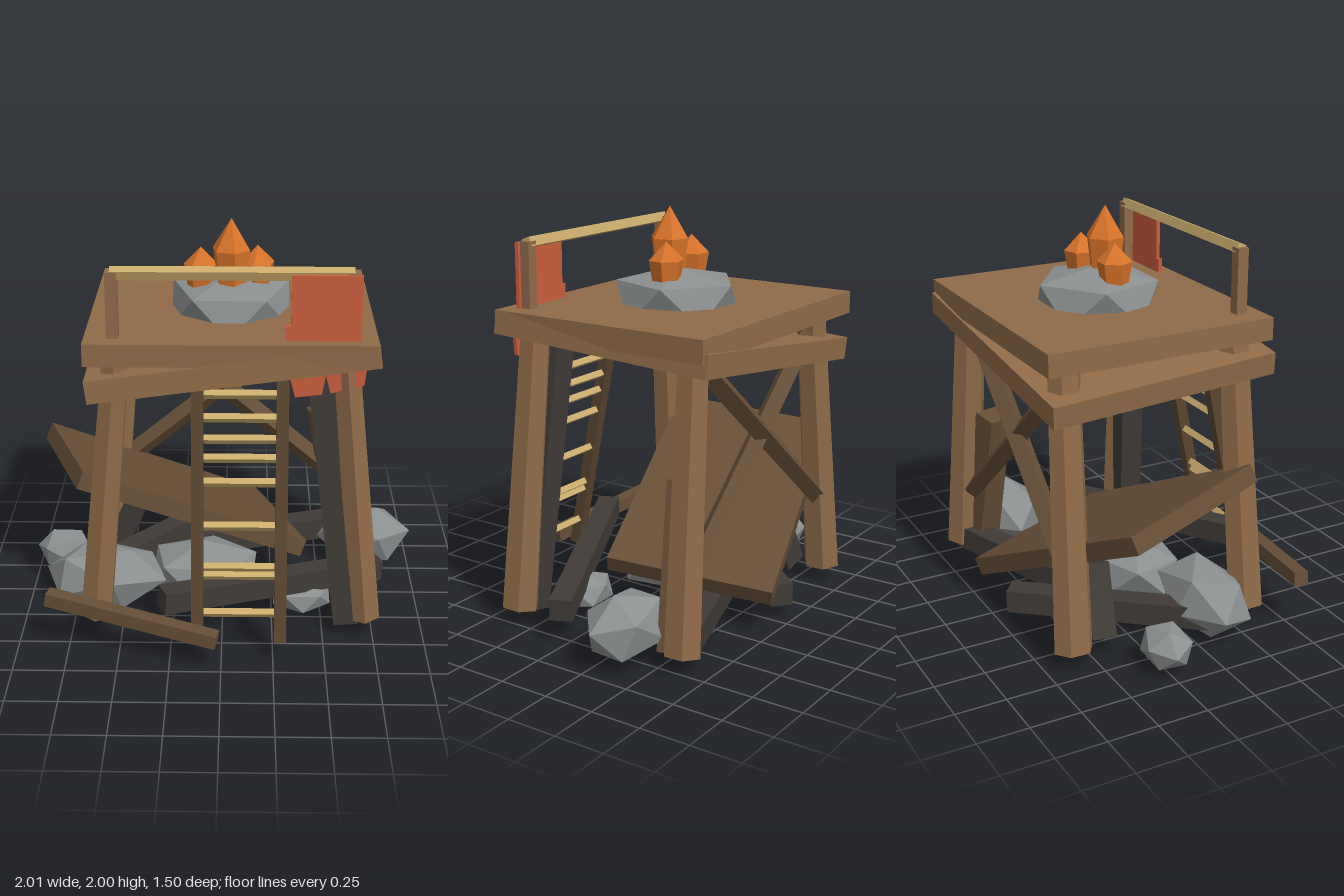
import * as THREE from 'three';

const mat = (name, color) => {
  const m = new THREE.MeshStandardMaterial({ color, flatShading: true });
  m.name = name;
  return m;
};

export function createModel() {
  const root = new THREE.Group();
  root.name = 'ruinedWatchtower';
  const timber = mat('timber', 0x906b48);
  const oldWood = mat('weatheredWood', 0x664e36);
  const darkWood = mat('ladderWood', 0x5b452f);
  const charred = mat('charredWood', 0x403b37);
  const pale = mat('paleWood', 0xcbac6d);
  const stone = mat('stone', 0x8b8f8f);
  const flame = mat('flame', 0xd8732a);
  const cloth = mat('redCloth', 0xcb5e3e);
  cloth.side = THREE.DoubleSide;

  const add = (name, geo, material, pos = [0, 0, 0]) => {
    const m = new THREE.Mesh(geo, material);
    m.name = name;
    m.position.set(...pos);
    root.add(m);
    return m;
  };
  const box = (name, material, size, pos) => add(name, new THREE.BoxGeometry(...size), material, pos);

  // Straight squared piece between two points, turned about its length by roll
  const beam = (name, material, a, b, w, h = w, roll = 0) => {
    const A = new THREE.Vector3(...a), B = new THREE.Vector3(...b);
    const m = add(name, new THREE.BoxGeometry(w, h, A.distanceTo(B)), material);
    m.position.copy(A).add(B).multiplyScalar(0.5);
    m.lookAt(B);
    m.rotateZ(roll);
    return m;
  };

  // Platform and the sagging deck beneath it
  box('platform', timber, [1.36, 0.11, 1.15], [0.04, 1.495, -0.135]);
  const deck = box('saggingDeck', timber, [1.37, 0.11, 1.16], [0.04, 1.375, -0.13]);
  deck.rotation.set(-0.055, 0.016, 0.13);

  // Four splayed legs
  for (const sx of [-1, 1]) {
    for (const [zb, zt] of [[0.345, 0.315], [-0.605, -0.57]]) {
      const foot = new THREE.Vector3(0.04 + sx * 0.67, 0.08, zb);
      const head = new THREE.Vector3(0.04 + sx * 0.535, 1.46, zt);
      const dir = head.clone().sub(foot);
      const leg = add('leg', new THREE.CylinderGeometry(0.08, 0.098, dir.length(), 6), timber);
      leg.scale.x = 0.88;
      leg.position.copy(foot).add(head).multiplyScalar(0.5);
      leg.quaternion.setFromUnitVectors(new THREE.Vector3(0, 1, 0), dir.normalize());
    }
  }

  // Crossed braces at the back, set on edge
  beam('brace', oldWood, [-0.5, 1.37, -0.56], [0.62, 0.4, -0.58], 0.076, 0.076, Math.PI / 4);
  beam('brace', oldWood, [0.52, 1.38, -0.58], [-0.56, 0.48, -0.6], 0.076, 0.076, Math.PI / 4);

  // Leaning posts
  beam('charredPost', charred, [0.62, 0.05, 0.345], [0.45, 1.45, 0.28], 0.12, 0.12, 0.3);
  beam('leaningStump', oldWood, [0.66, 0.06, -0.53], [0.52, 0.84, -0.49], 0.13, 0.13);

  // Ladder
  const ladderZ = y => 0.63 - (y - 0.1) * 0.2;
  for (const x of [-0.115, 0.283])
    beam('ladderRail', darkWood, [x, 0.1, ladderZ(0.1)], [x, 1.37, ladderZ(1.37)], 0.058, 0.058);
  for (const y of [0.24, 0.425, 0.465, 0.665, 0.875, 0.99, 1.08, 1.18, 1.29]) {
    const rung = box('ladderRung', pale, [0.345, 0.032, 0.032], [0.084, y, ladderZ(y)]);
    rung.rotation.x = 0.6;
  }

  // Railing
  for (const x of [-0.505, 0.595]) box('railPost', timber, [0.055, 0.33, 0.055], [x, 1.7, 0.335]);
  const hand = box('handRail', pale, [1.11, 0.046, 0.046], [0.045, 1.857, 0.335]);
  hand.rotation.x = 0.35;

  // Torn hanging cloth
  const torn = new THREE.Shape([
    [0.315, 1.86], [0.315, 1.62], [0.29, 1.62], [0.3, 1.42], [0.34, 1.27], [0.465, 1.285],
    [0.48, 1.38], [0.505, 1.29], [0.57, 1.31], [0.59, 1.4], [0.615, 1.32], [0.66, 1.33],
    [0.67, 1.42], [0.637, 1.5], [0.637, 1.86],
  ].map(p => new THREE.Vector2(...p)));
  add('tornCloth', new THREE.ExtrudeGeometry(torn, { depth: 0.02, bevelEnabled: false }), cloth, [0, 0, 0.358]);

  // Faceted hearth stone: a squat icosahedron on its point, tips pressed flat
  const hearth = new THREE.IcosahedronGeometry(1, 0);
  hearth.rotateZ(-0.5536).rotateY(0.3).scale(0.335, 0.2, 0.335);
  const hp = hearth.attributes.position;
  for (let i = 0; i < hp.count; i++) hp.setY(i, THREE.MathUtils.clamp(hp.getY(i), -0.15, 0.15));
  add('hearthStone', hearth, stone, [0.035, 1.56, -0.13]);

  // Three pointed flames
  for (const [x, z, r, h] of [[0.038, -0.082, 0.095, 0.36], [-0.11, -0.11, 0.085, 0.21], [0.165, -0.148, 0.085, 0.21]]) {
    const pts = [[0, 0], [r * 0.75, 0], [r, h * 0.58], [0, h]].map(p => new THREE.Vector2(...p));
    const f = add('flame', new THREE.LatheGeometry(pts, 6), flame, [x, 1.64, z]);
    f.rotation.y = x * 5;
  }

  // Large fallen slab lying across the base
  const u = new THREE.Vector3(1.14, -0.55, -0.31).normalize();
  const w = new THREE.Vector3(0.245, 0.1, 0.81).normalize();
  const n = w.clone().cross(u).normalize();
  w.copy(u).cross(n).normalize();
  const slab = box('fallenSlab', oldWood, [1.26, 0.09, 0.83], [0, 0, 0]);
  slab.quaternion.setFromRotationMatrix(new THREE.Matrix4().makeBasis(u, n, w));
  slab.position.set(-0.265, 0.498, -0.21);

  // Fallen board and charred logs
  beam('fallenBoard', oldWood, [-0.85, 0.27, 0.52], [-0.02, 0.15, 0.705], 0.07, 0.07);
  for (const [a, b, t] of [
    [[-0.29, 0.27, 0.54], [0.8, 0.17, 0.02], 0.11],
    [[0.7, 0.11, -0.6], [-0.13, 0.12, -0.33], 0.12],
    [[-0.07, 0.11, -0.68], [-0.74, 0.13, 0.1], 0.115],
    [[-0.58, 0.07, -0.43], [-0.44, 0.4, -0.4], 0.12],
  ]) beam('charredLog', charred, a, b, t, t);

  // Boulders: centre, radii, turn
  const rocks = [
    [0.755, 0.175, -0.33, 0.255, 0.17, 0.19, 0.4],
    [-0.86, 0.12, -0.24, 0.15, 0.11, 0.125, 1.1],
    [-0.6, 0.17, 0.12, 0.33, 0.18, 0.2, 0.2],
    [-0.1, 0.15, 0.0, 0.31, 0.15, 0.24, 0.7],
    [0.4, 0.1, 0.18, 0.17, 0.095, 0.14, 1.7],
  ];
  for (const [x, y, z, rx, ry, rz, turn] of rocks) {
    const g = new THREE.IcosahedronGeometry(1, 0);
    g.rotateY(turn).rotateX(0.35).rotateZ(turn * 0.6).scale(rx, ry, rz);
    add('boulder', g, stone, [x, y, z]);
  }
  return root;
}
